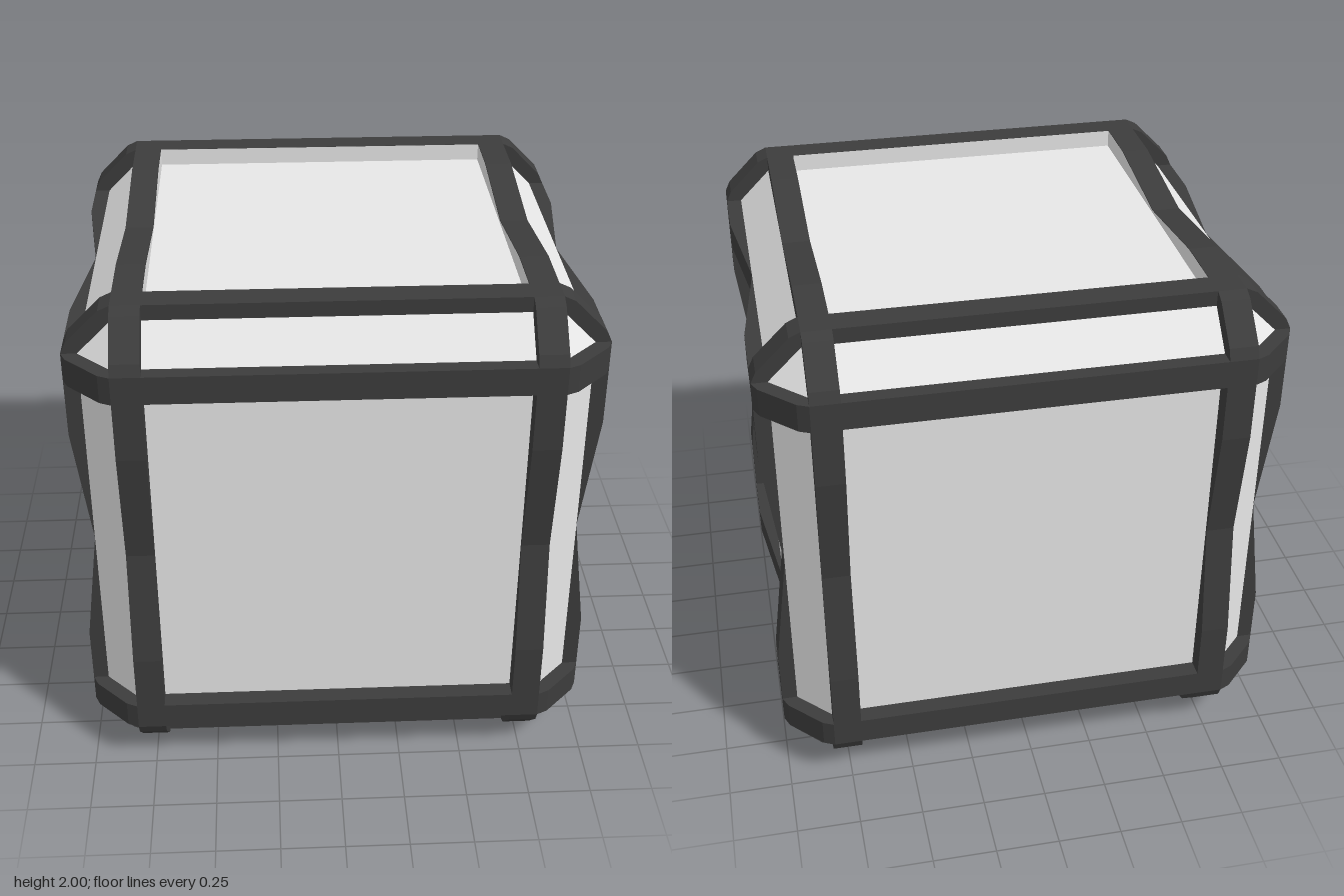
import * as THREE from 'three';

const IN = 0.702, OUT = 0.812;      // inner and outer edge of each beam
const SKIN = 0.94, FACE = 0.93;     // chamfer edge level, square panel level

// One side of a ring outline, facing +x, running upwards; pinched sides dip in the middle
function sidePoints(pinched) {
  const half = [[0.98, 0.855], [1, OUT]];
  if (pinched) half.push([1, 0.47]);
  const lower = half.map(([x, y]) => [x, -y]);
  const upper = [...half].reverse();
  return pinched ? [...lower, [SKIN, 0], ...upper] : [...lower, ...upper];
}

// Eight-sided ring, extruded along z and centred on z = 0
function ringGeometry(pinchY) {
  const outline = [];
  for (let k = 0; k < 4; k++) {
    const c = Math.round(Math.cos(k * Math.PI / 2)), s = Math.round(Math.sin(k * Math.PI / 2));
    for (const [x, y] of sidePoints(k % 2 === 0 || pinchY)) {
      outline.push(new THREE.Vector2(c * x - s * y, s * x + c * y));
    }
  }
  const shape = new THREE.Shape(outline);
  const a = FACE, b = 0.81;
  shape.holes.push(new THREE.Path([
    [a, -b], [b, -a], [-b, -a], [-a, -b], [-a, b], [-b, a], [b, a], [a, b],
  ].map(([x, y]) => new THREE.Vector2(x, y))));
  const geo = new THREE.ExtrudeGeometry(shape, { depth: OUT - IN, bevelEnabled: false });
  return geo.translate(0, 0, -(OUT - IN) / 2);
}

// Flat polygons, fanned from their first point, facing away from the centre (or towards the y axis)
function polygons(list, inward = false) {
  const pos = [];
  for (const poly of list) {
    const p = poly.map((v) => new THREE.Vector3(...v));
    const n = p[1].clone().sub(p[0]).cross(p[2].clone().sub(p[0]));
    const mid = p.reduce((m, v) => m.add(v), new THREE.Vector3());
    if (inward) mid.setY(0);
    const flip = (n.dot(mid) < 0) !== inward;
    for (let i = 1; i < p.length - 1; i++) {
      const tri = flip ? [p[0], p[i + 1], p[i]] : [p[0], p[i], p[i + 1]];
      for (const v of tri) pos.push(v.x, v.y, v.z);
    }
  }
  const geo = new THREE.BufferGeometry();
  geo.setAttribute('position', new THREE.Float32BufferAttribute(pos, 3));
  geo.computeVertexNormals();
  return geo;
}

// Point with its values placed on three successive axes starting at a given one
function onAxes(axis, u, v, w) {
  const p = [0, 0, 0];
  p[axis] = u;
  p[(axis + 1) % 3] = v;
  p[(axis + 2) % 3] = w;
  return p;
}

export function createModel() {
  const light = new THREE.MeshStandardMaterial({ color: 0xe6e6e6 });
  light.name = 'lightGrey';
  const dark = new THREE.MeshStandardMaterial({ color: 0x3c3c3c });
  dark.name = 'charcoal';

  const model = new THREE.Group();
  model.name = 'framedCube';
  const add = (name, geo, mat) => {
    const mesh = new THREE.Mesh(geo, mat);
    mesh.name = name;
    model.add(mesh);
    return mesh;
  };

  const faces = [], chamfers = [], corners = [], walls = [];
  const rim = IN - 0.002;
  const straightWall = [[-rim, FACE], [rim, FACE], [rim, 1], [-rim, 1]];
  const pinchedWall = [
    [0, SKIN], [-0.47, 1], [-rim, 1], [-rim, FACE], [rim, FACE], [rim, 1], [0.47, 1],
  ];
  for (const s of [-1, 1]) {
    for (let axis = 0; axis < 3; axis++) {
      // Six square panels
      const e = 0.8;
      faces.push([[-e, -e], [e, -e], [e, e], [-e, e]].map(([v, w]) => onAxes(axis, s * FACE, v, w)));
      // Twelve chamfer strips between neighbouring panels
      for (const t of [-1, 1]) {
        chamfers.push([
          onAxes(axis, -OUT, s * SKIN, t * OUT), onAxes(axis, OUT, s * SKIN, t * OUT),
          onAxes(axis, OUT, s * OUT, t * SKIN), onAxes(axis, -OUT, s * OUT, t * SKIN),
        ]);
      }
    }
    for (const t of [-1, 1]) {
      // Eight corner triangles
      for (const r of [-1, 1]) {
        corners.push([
          [s * SKIN, t * OUT, r * OUT], [s * OUT, t * SKIN, r * OUT], [s * OUT, t * OUT, r * SKIN],
        ]);
      }
      // Light linings on the inner beam sides of the top and bottom
      walls.push(straightWall.map(([u, y]) => [u, s * y, t * rim]));
      walls.push(pinchedWall.map(([u, y]) => [t * rim, s * y, u]));
    }
  }
  add('facePanels', polygons(faces), light);
  add('chamferPanels', polygons(chamfers), light);
  add('cornerPanels', polygons(corners), light);
  add('beamLinings', polygons(walls, true), light);

  // Three pairs of frame rings
  const plain = ringGeometry(false), pinched = ringGeometry(true);
  const mid = (IN + OUT) / 2;
  for (const s of [-1, 1]) {
    add('frameRingDepth', plain, dark).position.z = s * mid;
    const level = add('frameRingHeight', plain, dark);
    level.rotation.x = Math.PI / 2;
    level.position.y = s * mid;
    const side = add('frameRingWidth', pinched, dark);
    side.rotation.y = Math.PI / 2;
    side.position.x = s * mid;
  }

  // Stand the cube on the ground
  for (const child of model.children) child.position.y += 1;
  return model;
}
